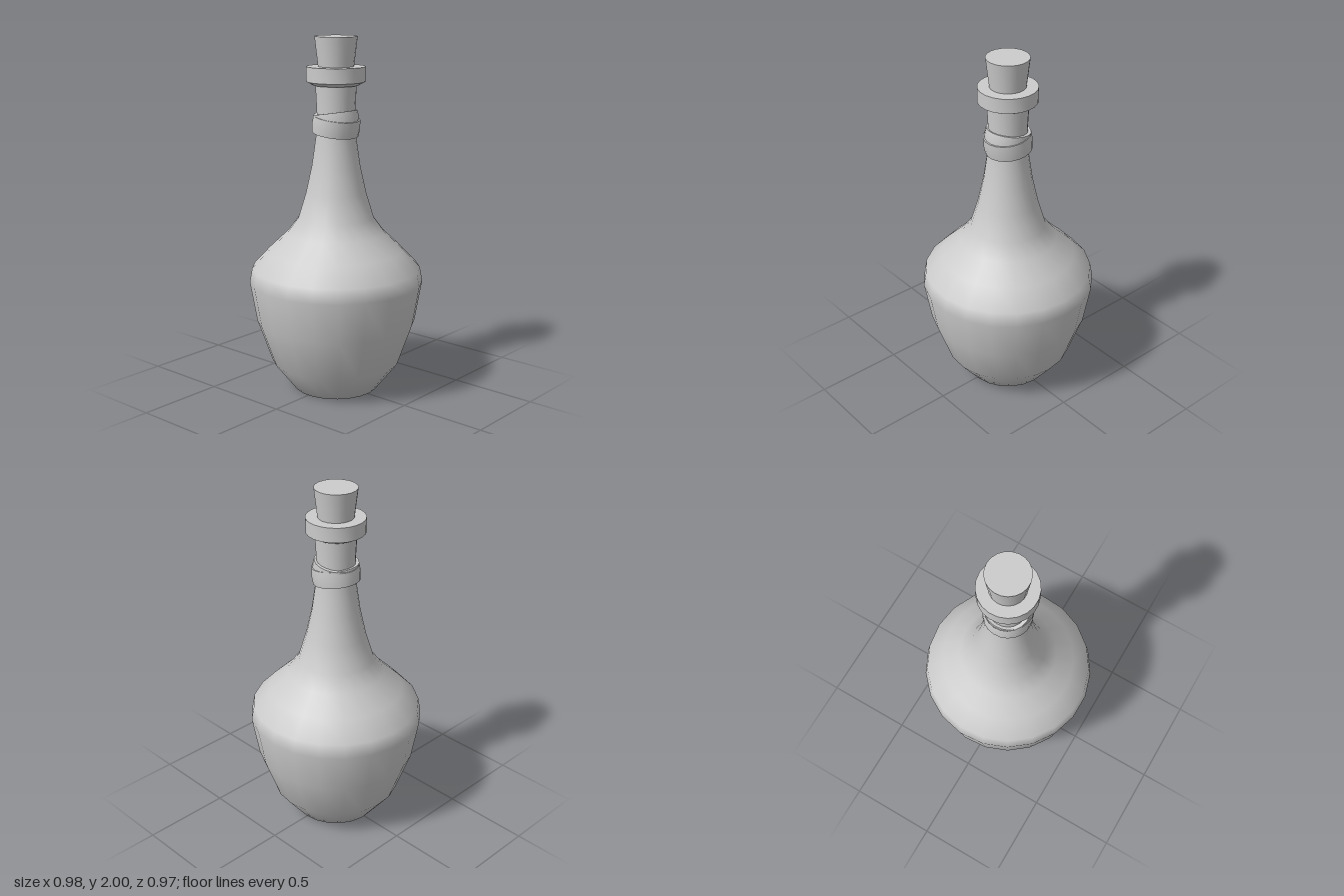
import * as THREE from 'three';
import { toCreasedNormals } from 'three/addons/utils/BufferGeometryUtils.js';

const SIDES = 21;
const material = new THREE.MeshStandardMaterial({ color: 0xcccccc });

// Turn a profile of [radius, height] pairs, listed from bottom to top
function turned(name, profile, crease) {
  const points = profile.map(([r, y]) => new THREE.Vector2(r, y));
  let geometry = new THREE.LatheGeometry(points, SIDES, Math.PI);
  if (crease) geometry = toCreasedNormals(geometry, crease);
  const mesh = new THREE.Mesh(geometry, material);
  mesh.name = name;
  return mesh;
}

// Leaning strap around the neck: a closed, slightly bulging cross-section
function strap(name, radius, height, y, lean) {
  const h = height / 2;
  const mesh = turned(name, [
    [radius - 0.03, -h], [radius - 0.004, -h], [radius, 0],
    [radius - 0.004, h], [radius - 0.03, h], [radius - 0.03, -h],
  ], 0.7);
  mesh.position.y = y;
  mesh.rotation.z = lean;
  return mesh;
}

export function createModel() {
  const bottle = new THREE.Group();
  bottle.name = 'bottle';

  // Smooth glass body running up into the neck
  bottle.add(turned('body', [
    [0, 0], [0.24, 0], [0.365, 0.16], [0.45, 0.4], [0.49, 0.63],
    [0.475, 0.71], [0.38, 0.81], [0.275, 0.91], [0.212, 0.995], [0.168, 1.14],
    [0.135, 1.29], [0.112, 1.45], [0.106, 1.58], [0.114, 1.75],
  ]));

  // Lip with a chamfered underside
  bottle.add(turned('lip', [
    [0.1, 1.735], [0.125, 1.735], [0.163, 1.755], [0.163, 1.837], [0.09, 1.837],
  ], 0.45));

  // Tapered stopper
  bottle.add(turned('cork', [
    [0, 1.78], [0.092, 1.78], [0.118, 2], [0, 2],
  ], 0.7));

  // Two crossing straps tied around the neck
  bottle.add(strap('lowerStrap', 0.134, 0.092, 1.513, -0.14));
  bottle.add(strap('upperStrap', 0.127, 0.075, 1.547, 0.16));

  return bottle;
}
